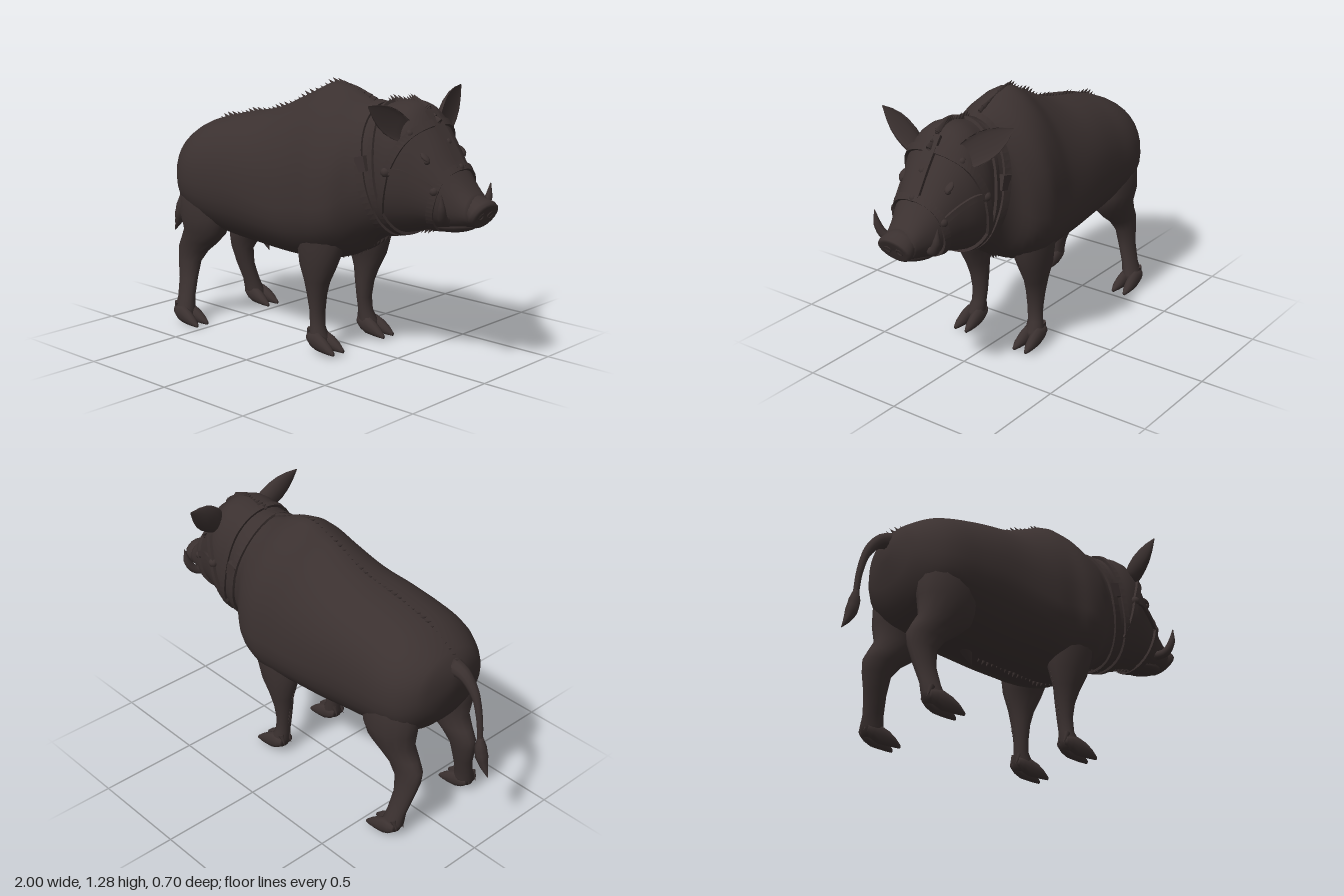
import * as THREE from 'three';
import { mergeGeometries } from 'three/addons/utils/BufferGeometryUtils.js';

const V = (x, y, z) => new THREE.Vector3(x, y, z);
const { smoothstep, clamp, lerp } = THREE.MathUtils;
const hide = new THREE.MeshStandardMaterial({ color: 0x3b3130 });
hide.name = 'darkHide';

// Torso and head stations: x, top, bottom, half width, centre z
const STATIONS = [
  [-0.79, 0.87, 0.77, 0.05, 0.055], [-0.77, 0.92, 0.67, 0.16, 0.05],
  [-0.70, 0.98, 0.55, 0.25, 0.045], [-0.6, 1.03, 0.5, 0.295, 0.048],
  [-0.45, 1.07, 0.465, 0.303, 0.048], [-0.2, 1.125, 0.44, 0.306, 0.035],
  [0, 1.215, 0.43, 0.305, 0.028], [0.12, 1.27, 0.43, 0.305, 0.012],
  [0.22, 1.255, 0.45, 0.314, 0.005], [0.32, 1.215, 0.5, 0.287, 0.002],
  [0.40, 1.19, 0.56, 0.228, 0], [0.48, 1.21, 0.6, 0.205, 0],
  [0.56, 1.225, 0.62, 0.215, -0.003], [0.64, 1.205, 0.64, 0.2, -0.004],
  [0.70, 1.135, 0.66, 0.175, -0.005], [0.76, 1.055, 0.67, 0.15, -0.007],
  [0.82, 0.965, 0.675, 0.125, -0.009], [0.88, 0.89, 0.69, 0.1, -0.011],
  [0.945, 0.825, 0.71, 0.08, -0.012],
];

// Smooth interpolation between stations
function station(x) {
  const n = STATIONS.length;
  let i = 0;
  while (i < n - 2 && x > STATIONS[i + 1][0]) i++;
  const p = STATIONS[i], q = STATIONS[i + 1], h = q[0] - p[0];
  const t = clamp((x - p[0]) / h, 0, 1);
  const slope = (j, k) => {
    const a = STATIONS[Math.max(j - 1, 0)], b = STATIONS[Math.min(j + 1, n - 1)];
    return (b[k] - a[k]) / (b[0] - a[0]);
  };
  return [1, 2, 3, 4].map(k =>
    (2 * t ** 3 - 3 * t * t + 1) * p[k] + (t ** 3 - 2 * t * t + t) * h * slope(i, k) +
    (3 * t * t - 2 * t ** 3) * q[k] + (t ** 3 - t * t) * h * slope(i + 1, k));
}

// Skin point at x; angle 0 is the spine, growing towards +z
function skin(x, a) {
  const [top, bottom, w, zc] = station(x);
  // The shoulders are ridged on top and widest low down
  const shoulder = smoothstep(x, -0.35, 0.05) * (1 - smoothstep(x, 0.3, 0.48));
  const mid = bottom + (0.46 - 0.12 * shoulder) * (top - bottom);
  const c = Math.cos(a), s = Math.sin(a), pw = (v, e) => Math.sign(v) * Math.abs(v) ** e;
  const ridge = 0.88 + 0.36 * shoulder * smoothstep(c, 0, 0.5);
  return V(x, mid + pw(c, 0.92) * (c > 0 ? top - mid : mid - bottom), zc + pw(s, ridge) * w);
}

// Skin over closed rings of points, capped at both ends
function loft(rings, flip = false) {
  if (flip) rings = rings.map(r => [...r].reverse());
  const n = rings[0].length, pos = [], idx = [];
  rings.forEach(r => r.forEach(p => pos.push(p.x, p.y, p.z)));
  for (let i = 0; i < rings.length - 1; i++) for (let j = 0; j < n; j++) {
    const k = (j + 1) % n, a = i * n + j, b = i * n + k;
    idx.push(a, b, b + n, a, b + n, a + n);
  }
  [0, rings.length - 1].forEach((r, end) => {
    const c = rings[r].reduce((s, p) => s.add(p), V(0, 0, 0)).divideScalar(n);
    const m = pos.length / 3;
    pos.push(c.x, c.y, c.z);
    for (let j = 0; j < n; j++) {
      const a = r * n + j, b = r * n + (j + 1) % n;
      idx.push(m, end ? a : b, end ? b : a);
    }
  });
  const g = new THREE.BufferGeometry();
  g.setAttribute('position', new THREE.Float32BufferAttribute(pos, 3));
  g.setIndex(idx);
  g.computeVertexNormals();
  return g;
}

function ring(c, u, v, n = 16) {
  return Array.from({ length: n }, (_, j) => {
    const a = j / n * Math.PI * 2;
    return c.clone().addScaledVector(u, Math.cos(a)).addScaledVector(v, Math.sin(a));
  });
}

// Tapered tube along a curve
function taper(points, radii, steps = 18, sides = 10) {
  const curve = new THREE.CatmullRomCurve3(points.map(p => V(...p)));
  const f = curve.computeFrenetFrames(steps);
  return loft(Array.from({ length: steps + 1 }, (_, i) => {
    const s = i / steps * (radii.length - 1), k = Math.min(Math.floor(s), radii.length - 2);
    const r = lerp(radii[k], radii[k + 1], s - k);
    return ring(curve.getPointAt(i / steps), f.normals[i].clone().multiplyScalar(r),
      f.binormals[i].clone().multiplyScalar(r), sides);
  }));
}

// Leather band lying on the skin along a path of (x, angle)
function strap(path, width, closed = false, steps = 40) {
  const rings = [];
  for (let i = 0; i <= steps; i++) {
    const at = t => skin(...path(t));
    const t = i / steps, p = at(t), [x, a] = path(t), e = 0.004;
    const normal = skin(x, a + e).sub(skin(x, a - e)).cross(skin(x + e, a).sub(skin(x - e, a))).normalize();
    const dir = at(t + e).sub(at(t - e)).normalize();
    const side = normal.clone().cross(dir).normalize().multiplyScalar(width / 2);
    rings.push([[1, -0.008], [1, 0.013], [-1, 0.013], [-1, -0.008]].map(([s, h]) =>
      p.clone().addScaledVector(side, s).addScaledVector(normal, h)));
  }
  if (closed) rings[steps] = rings[0].map(p => p.clone());
  const g = loft(rings).toNonIndexed();
  g.computeVertexNormals();
  return g;
}

// Row of bristles along a list of points
function fringe(points, count, size, angle) {
  const curve = new THREE.CatmullRomCurve3(points);
  return mergeGeometries(Array.from({ length: count }, (_, i) => {
    const p = curve.getPointAt(i / (count - 1)), k = size * (1 + 0.4 * Math.sin(i * 7.3));
    return new THREE.ConeGeometry(0.5 * k, 1.6 * k, 5).scale(1, 1, 0.6).rotateZ(angle).translate(p.x, p.y, p.z);
  }));
}

export function createModel() {
  const model = new THREE.Group();
  const add = (name, geometry) => {
    const mesh = new THREE.Mesh(geometry, hide);
    mesh.name = name;
    model.add(mesh);
  };

  // Torso and head
  const x0 = STATIONS[0][0], x1 = STATIONS[STATIONS.length - 1][0];
  add('bodyAndHead', loft(Array.from({ length: 73 }, (_, i) =>
    Array.from({ length: 32 }, (_, j) => skin(x0 + (x1 - x0) * i / 72, j / 16 * Math.PI)))));

  // Snout disc with nostrils
  const tilt = -0.46;
  const disc = new THREE.LatheGeometry([[0, -0.09], [0.076, -0.085], [0.08, -0.03], [0.09, 0.003],
    [0.087, 0.022], [0.07, 0.027], [0, 0.022]].map(p => new THREE.Vector2(...p)), 20);
  add('snout', disc.scale(0.74, 1, 1).rotateZ(-Math.PI / 2 + tilt).translate(0.95, 0.766, -0.012));
  for (const s of [1, -1]) {
    add('nostril', new THREE.TorusGeometry(0.016, 0.004, 6, 12).rotateY(Math.PI / 2).rotateZ(tilt)
      .translate(0.972, 0.757, s * 0.033 - 0.012));
  }
  add('lowerJaw', new THREE.SphereGeometry(1, 16, 10).scale(0.12, 0.035, 0.075).rotateZ(0.12).translate(0.81, 0.695, -0.008));

  // Legs: rings of y, centre x, x radius, offset z, z radius
  const front = [[0.045, 0.172, 0.046, 0.18, 0.046], [0.085, 0.166, 0.05, 0.178, 0.046], [0.13, 0.153, 0.035, 0.172, 0.038],
    [0.2, 0.148, 0.036, 0.167, 0.04], [0.28, 0.148, 0.05, 0.17, 0.046], [0.35, 0.154, 0.07, 0.176, 0.053],
    [0.43, 0.162, 0.104, 0.178, 0.07], [0.55, 0.172, 0.135, 0.165, 0.098], [0.68, 0.18, 0.13, 0.148, 0.115], [0.84, 0.18, 0.07, 0.12, 0.06]];
  const hind = [[0.035, -0.653, 0.05, 0.25, 0.046], [0.075, -0.665, 0.056, 0.244, 0.045], [0.13, -0.671, 0.05, 0.228, 0.037],
    [0.22, -0.684, 0.056, 0.2, 0.038], [0.31, -0.69, 0.073, 0.184, 0.044], [0.37, -0.668, 0.098, 0.178, 0.053],
    [0.42, -0.622, 0.118, 0.178, 0.064], [0.48, -0.573, 0.133, 0.182, 0.08], [0.56, -0.567, 0.148, 0.185, 0.1],
    [0.72, -0.57, 0.15, 0.168, 0.115], [0.86, -0.57, 0.07, 0.13, 0.06]];
  for (const s of [1, -1]) for (const [name, rows, y0, zc] of [['frontLeg', front, 0.014, 0.006], ['hindLeg', hind, 0, 0.045]]) {
    add(name, loft(rows.map(([y, x, rx, z, rz]) => ring(V(x, y, s * z + zc), V(0, 0, rz), V(rx, 0, 0)))));
    // Cloven hooves and dew claws
    const fx = rows[0][1] + 0.012, fz = s * rows[0][3] + zc;
    for (const k of [1, -1]) {
      add('hoof', loft([[-0.06, 0.062, 0.02, 0.016], [-0.035, 0.054, 0.035, 0.024], [0, 0.048, 0.046, 0.027],
        [0.045, 0.037, 0.036, 0.027], [0.08, 0.024, 0.023, 0.021], [0.11, 0.01, 0.009, 0.008]].map(([dx, y, ry, rz]) =>
        ring(V(fx + dx, y0 + y, fz + k * (0.026 + Math.max(dx, 0) * 0.07)), V(0, ry, 0), V(0, 0, rz), 10))));
      add('dewClaw', new THREE.ConeGeometry(0.015, 0.06, 7).rotateZ(2.7)
        .translate(fx - 0.063, y0 + 0.075, fz + k * 0.022));
    }
  }

  // Tail with tuft
  add('tail', taper([[-0.75, 0.885, 0.05], [-0.82, 0.865, 0.055], [-0.885, 0.79, 0.06], [-0.92, 0.68, 0.06], [-0.935, 0.55, 0.06]],
    [0.045, 0.028, 0.018, 0.015, 0.014]));
  add('tailTuft', taper([[-0.933, 0.58, 0.06], [-0.945, 0.5, 0.06], [-0.965, 0.44, 0.06], [-0.995, 0.385, 0.06]],
    [0.013, 0.028, 0.03, 0.018, 0.002], 12, 8));

  for (const s of [1, -1]) {
    // Cupped ear: distance along, half width, depth; the right ear is raised and swept back more
    const lift = 0.56 - 0.05 * s, d = V(0, lift, 0.83 * s), u = V(0, 0.83, -lift * s);
    add('ear', loft([[0, 0.055, 0.045], [0.05, 0.063, 0.048], [0.1, 0.064, 0.044], [0.15, 0.056, 0.032],
      [0.2, 0.036, 0.018], [0.255, 0.003, 0.002]].map(([t, w, depth]) => Array.from({ length: 16 }, (_, j) => {
      const a = j / 8 * Math.PI, b = Math.sin(a);
      return V(0.645 - t * (0.22 - 0.08 * s), 1.105, s * 0.138).addScaledVector(d, t)
        .addScaledVector(u, Math.cos(a) * w).add(V(-depth * (b > 0 ? b : -0.25 * b), 0, 0));
    })), s < 0));
    // Tusks, eyes and brows
    add('tusk', taper([[0.83, 0.735, s * 0.085], [0.855, 0.745, s * 0.135], [0.87, 0.79, s * 0.165], [0.875, 0.865, s * 0.178]],
      [0.024, 0.023, 0.018, 0.002], 12, 8));
    const eye = skin(0.75, s * 0.95);
    add('eye', new THREE.SphereGeometry(0.014, 10, 8).translate(eye.x, eye.y, eye.z));
    add('brow', new THREE.SphereGeometry(1, 10, 8).scale(0.03, 0.01, 0.02).rotateZ(-0.7)
      .translate(eye.x - 0.01, eye.y + 0.018, eye.z));
  }

  // Collar and bridle
  const round = (x, k) => t => [x + k * Math.cos(t * 2 * Math.PI), t * 2 * Math.PI];
  add('collar', strap(round(0.45, -0.065), 0.04, true, 56));
  add('neckStrap', strap(round(0.515, -0.055), 0.026, true, 56));
  add('noseBand', strap(round(0.79, 0.04), 0.032, true, 48));
  add('browBand', strap(t => [0.7 - 0.11 * (2 * t - 1) ** 2, (2 * t - 1) * 1.5], 0.034));
  add('faceStrap', strap(t => [0.66 + 0.17 * t, 0], 0.06));
  const stud = (x, a, r) => {
    const p = skin(x, a);
    add('stud', new THREE.SphereGeometry(r, 10, 8).translate(p.x, p.y, p.z));
  };
  [0.7, 0.76, 0.83].forEach(x => stud(x, 0, 0.019));
  for (const s of [1, -1]) {
    add('cheekStrap', strap(t => [0.59 + 0.21 * t, s * (1.5 - 0.1 * t)], 0.028));
    add('jawStrap', strap(t => [0.59 - 0.05 * t, s * (1.5 + 0.7 * t)], 0.028));
    stud(0.59, s * 1.5, 0.024);
    stud(0.795, s * 1.4, 0.022);
    stud(0.665, s * 0.8, 0.018);
    const p = skin(0.45, s * 1.35);
    add('buckle', new THREE.BoxGeometry(0.055, 0.07, 0.035).rotateZ(0.25).translate(p.x, p.y, p.z));
  }

  // Bristles on spine, head, belly, throat, elbows and cheeks
  const along = (xs, a) => xs.map(x => skin(x, a));
  add('mane', fringe(along([-0.77, -0.6, -0.4, -0.2, 0, 0.12, 0.25, 0.38], 0), 42, 0.028, 1.05));
  add('headTuft', fringe(along([0.45, 0.55, 0.63, 0.68], 0), 14, 0.042, 0.9));
  add('bellyFringe', fringe(along([-0.25, -0.05, 0.1, 0.24, 0.4, 0.52], Math.PI), 32, 0.025, 2.7));
  add('throatFringe', fringe(along([0.5, 0.64, 0.78, 0.88], Math.PI), 18, 0.024, 2.5));
  add('sheath', new THREE.ConeGeometry(0.05, 0.13, 10).rotateZ(-2.7).translate(-0.325, 0.45, 0.05));
  for (const s of [1, -1]) {
    const z = s * 0.172 + 0.006;
    add('elbowFringe', fringe([V(0.07, 0.42, z), V(0.09, 0.35, z), V(0.105, 0.25, z), V(0.12, 0.17, z)], 12, 0.02, 2.3));
  }
  return model;
}
